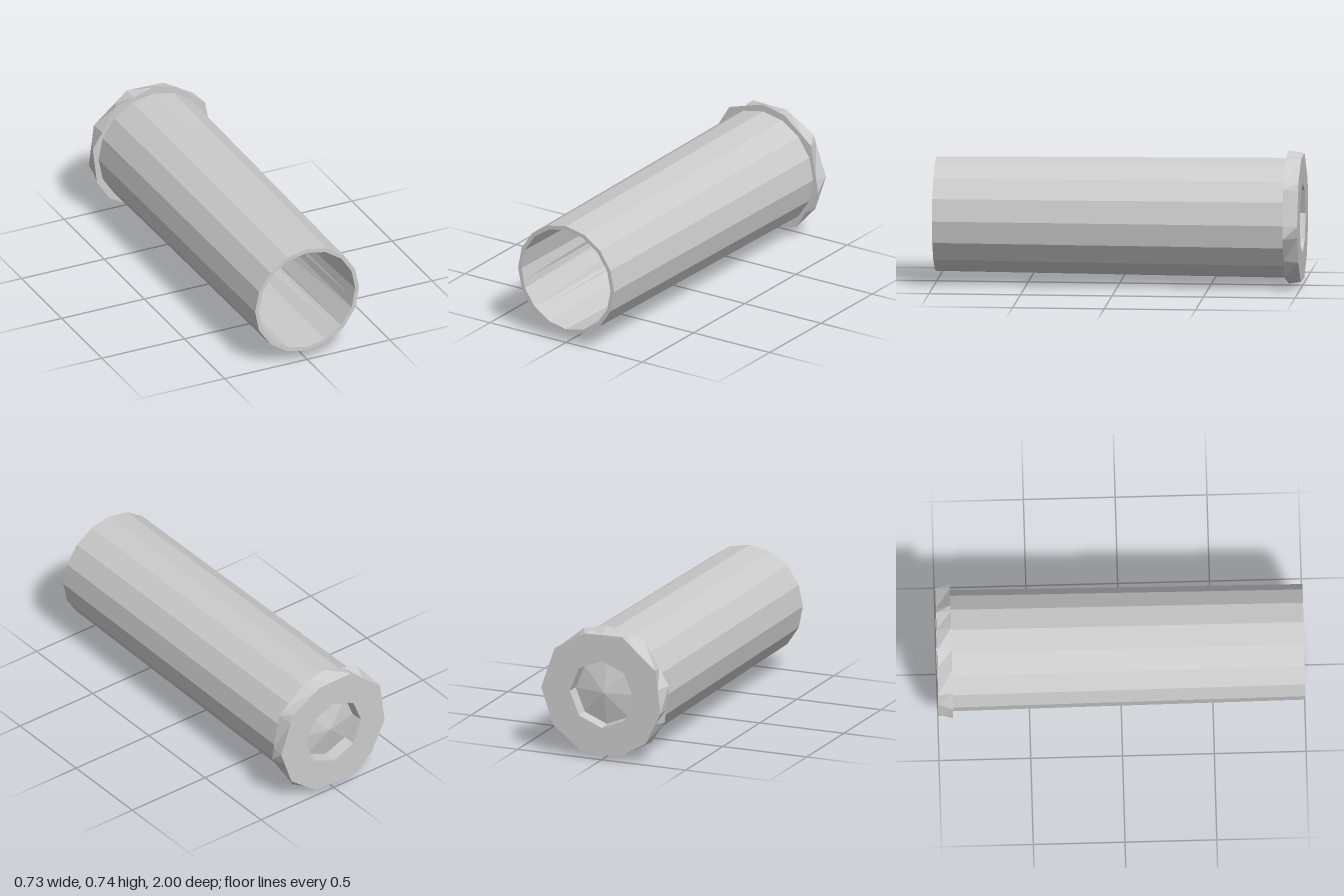
import * as THREE from 'three';

const CY = 0.37; // height of the barrel axis

// Regular polygon around the axis, with a vertex at the top
const regular = (n, r) => Array.from({ length: n }, (_, i) => {
  const a = Math.PI / 2 + (i / n) * Math.PI * 2;
  return [r * Math.cos(a), r * Math.sin(a)];
});
// Irregular polygon given in x, y
const poly = (...pts) => pts.map(([x, y]) => [x, y - CY]);
const ang = ([x, y]) => (Math.atan2(y, x) + Math.PI * 2) % (Math.PI * 2);

// Point where a ray from the axis meets a polygon
function hit(pts, a) {
  if (pts.length === 1) return pts[0];
  const dx = Math.cos(a), dy = Math.sin(a);
  let best = 0;
  pts.forEach(([x1, y1], i) => {
    const [x2, y2] = pts[(i + 1) % pts.length];
    const ex = x2 - x1, ey = y2 - y1;
    const den = dx * ey - dy * ex;
    if (Math.abs(den) < 1e-9) return;
    const t = (x1 * ey - y1 * ex) / den;
    const s = (x1 * dy - y1 * dx) / den;
    if (t > 0 && s > -1e-6 && s < 1 + 1e-6) best = Math.max(best, t);
  });
  return [dx * best, dy * best];
}

// Faceted skin through a sequence of [polygon, z] rings
function loft(name, rings, material) {
  const pos = [];
  for (let k = 0; k + 1 < rings.length; k++) {
    const [pa, za] = rings[k], [pb, zb] = rings[k + 1];
    const angles = [pa, pb].filter(p => p.length > 1).flat().map(ang)
      .sort((a, b) => a - b)
      .filter((a, i, l) => i === 0 || a - l[i - 1] > 1e-3);
    const at = (p, z, a) => { const [x, y] = hit(p, a); return [x, y + CY, z]; };
    angles.forEach((a0, i) => {
      const a1 = angles[(i + 1) % angles.length];
      const A0 = at(pa, za, a0), A1 = at(pa, za, a1);
      const B0 = at(pb, zb, a0), B1 = at(pb, zb, a1);
      if (pb.length > 1) pos.push(...A0, ...B0, ...B1);
      if (pa.length > 1) pos.push(...A0, ...B1, ...A1);
    });
  }
  const g = new THREE.BufferGeometry();
  g.setAttribute('position', new THREE.Float32BufferAttribute(pos, 3));
  g.computeVertexNormals();
  const mesh = new THREE.Mesh(g, material);
  mesh.name = name;
  return mesh;
}

export function createModel() {
  const group = new THREE.Group();
  group.name = 'hollowCasing';
  const mat = new THREE.MeshStandardMaterial({ color: 0xcccccc, flatShading: true });

  const mouthOuter = regular(16, 0.315);
  const mouthInner = regular(16, 0.292);
  const bodyBack = regular(16, 0.33);
  const floor = poly([0.06, 0.615], [-0.11, 0.6], [-0.25, 0.48], [-0.285, 0.3],
    [-0.2, 0.13], [0, 0.06], [0.2, 0.13], [0.28, 0.31], [0.24, 0.48]);
  const rimFront = poly([0, 0.74], [-0.22, 0.675], [-0.365, 0.44], [-0.34, 0.23],
    [-0.26, 0.11], [-0.06, 0], [0.22, 0.07], [0.363, 0.3], [0.315, 0.57], [0.14, 0.71]);
  const rimBack = poly([0.1, 0.705], [-0.12, 0.71], [-0.32, 0.54], [-0.35, 0.3],
    [-0.26, 0.12], [-0.1, 0.025], [0.12, 0.035], [0.29, 0.165], [0.36, 0.37], [0.28, 0.6]);
  const recess = regular(8, 0.19);
  const recessFloor = regular(8, 0.185);

  // Inner chamber, sagging slightly towards its closed end
  group.add(loft('innerChamber', [[poly([0, 0.33]), -0.88], [floor, -0.86], [mouthInner, 1]], mat));
  // Mouth edge and outer barrel
  group.add(loft('barrel', [[mouthInner, 1], [mouthOuter, 1], [regular(16, 0.326), -0.48], [bodyBack, -0.92]], mat));
  // Flange and flat base
  group.add(loft('rim', [[bodyBack, -0.92], [rimFront, -0.92], [rimBack, -1], [recess, -1]], mat));
  // Recess in the base with a low faceted dome
  group.add(loft('baseRecess', [[recess, -1], [recessFloor, -0.93], [[[0, 0]], -0.97]], mat));
  return group;
}
